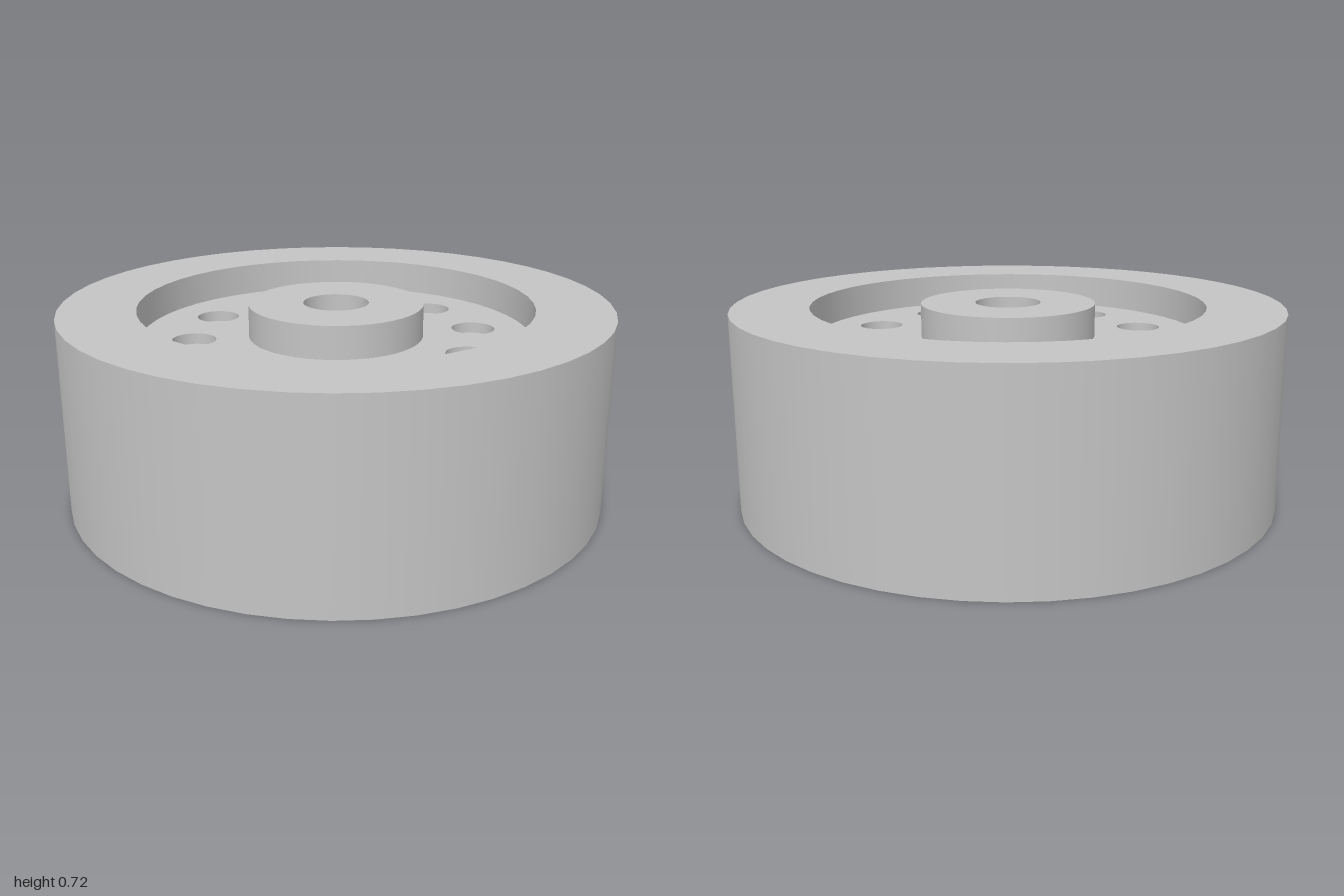
import * as THREE from 'three';
import { mergeGeometries } from 'three/addons/utils/BufferGeometryUtils.js';

const SEGMENTS = 48;
const HEIGHT = 0.72, FLOOR = 0.6, POCKET_BOTTOM = 0.56;
const OUTER = 1, RECESS = 0.72, HUB = 0.32, BORE = 0.12;
const POCKET = 0.08, POCKET_RING = 0.52, POCKETS = 10;

// Revolves each straight run of the profile on its own, so corners stay sharp
function revolve(profile) {
  const runs = [];
  for (let i = 0; i < profile.length - 1; i++) {
    const pair = [profile[i], profile[i + 1]].map(([r, y]) => new THREE.Vector2(r, y));
    runs.push(new THREE.LatheGeometry(pair, SEGMENTS));
  }
  return mergeGeometries(runs);
}

export function createModel() {
  const grey = new THREE.MeshStandardMaterial({ color: 0xc4c4c4 });
  grey.name = 'light grey';
  const model = new THREE.Group();
  model.name = 'wheel';
  const add = (name, geometry) => {
    const mesh = new THREE.Mesh(geometry, grey);
    mesh.name = name;
    model.add(mesh);
    return mesh;
  };

  // Underside, outer wall, rim and recess wall
  add('rim', revolve([[BORE, 0], [OUTER, 0], [OUTER, HEIGHT], [RECESS, HEIGHT], [RECESS, FLOOR]]));

  // Raised hub and the bore running right through
  add('hub', revolve([[HUB, FLOOR], [HUB, HEIGHT], [BORE, HEIGHT], [BORE, 0]]));

  // Recessed floor, pierced by a ring of round pockets
  const floor = new THREE.Shape().absarc(0, 0, RECESS, 0, Math.PI * 2);
  floor.holes.push(new THREE.Path().absarc(0, 0, HUB, 0, Math.PI * 2, true));
  const pocketGeometry = revolve([[POCKET, FLOOR], [POCKET, POCKET_BOTTOM], [0, POCKET_BOTTOM]]);
  for (let i = 0; i < POCKETS; i++) {
    const angle = (i / POCKETS) * Math.PI * 2;
    const x = POCKET_RING * Math.cos(angle), z = POCKET_RING * Math.sin(angle);
    floor.holes.push(new THREE.Path().absarc(x, -z, POCKET, 0, Math.PI * 2, true));
    add('pocket', pocketGeometry).position.set(x, 0, z);
  }
  add('recessFloor', new THREE.ShapeGeometry(floor, SEGMENTS).rotateX(-Math.PI / 2).translate(0, FLOOR, 0));

  return model;
}
